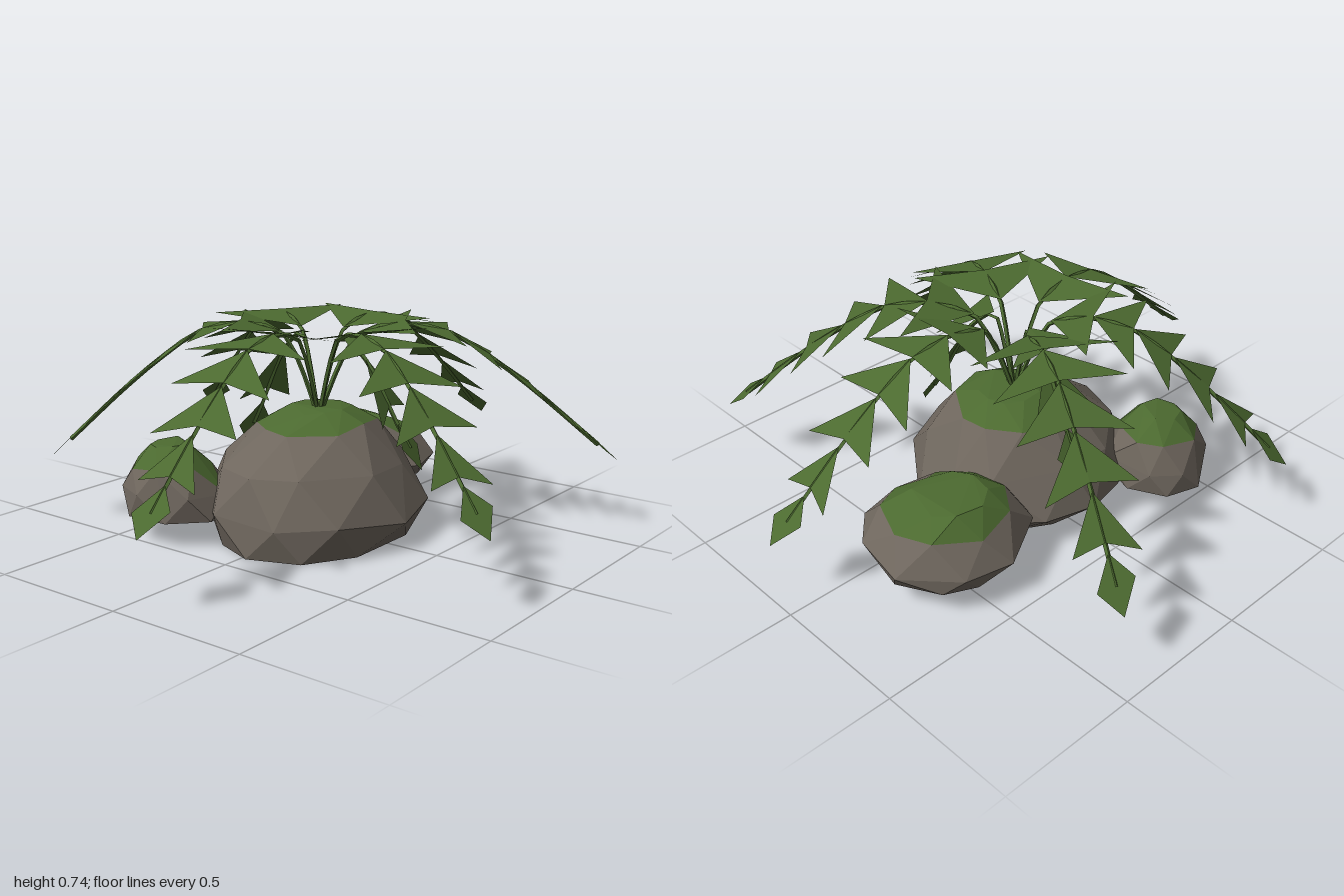
import * as THREE from 'three';
import { ConvexGeometry } from 'three/addons/geometries/ConvexGeometry.js';

const stone = new THREE.MeshStandardMaterial({ color: 0x6e665d, flatShading: true });
stone.name = 'stone';
const leafGreen = new THREE.MeshStandardMaterial({ color: 0x4c6a30, flatShading: true, side: THREE.DoubleSide });
leafGreen.name = 'leaf green';

function seeded(seed) {
  return () => (seed = (seed * 16807) % 2147483647) / 2147483647;
}

// Faceted boulder: hull of uneven rings [y, centreX, centreZ, radiusX, radiusZ],
// with upward faces above mossY painted green
function boulder(name, rings, sides, mossY, seed) {
  const rand = seeded(seed);
  const points = [];
  rings.forEach(([y, cx, cz, rx, rz], k) => {
    const flat = k === 0;
    for (let i = 0; i < sides; i++) {
      const a = ((i + (k % 2) * 0.5 + (rand() - 0.5) * 0.35) / sides) * Math.PI * 2;
      const s = 0.97 + rand() * 0.07;
      const dy = flat ? 0 : (rand() - 0.5) * 0.03;
      points.push(new THREE.Vector3(cx + Math.cos(a) * rx * s, y + dy, cz + Math.sin(a) * rz * s));
    }
  });
  const geo = new ConvexGeometry(points);
  const p = geo.attributes.position;
  const n = geo.attributes.normal;
  for (let i = 0; i < p.count; i += 3) {
    const midY = (p.getY(i) + p.getY(i + 1) + p.getY(i + 2)) / 3;
    geo.addGroup(i, 3, midY > mossY && n.getY(i) > 0.55 ? 1 : 0);
  }
  const mesh = new THREE.Mesh(geo, [stone, leafGreen]);
  mesh.name = name;
  return mesh;
}

// Leaf from an inner point to an outer one: a wide wedge, or a kite at the tip
function leaf([r0, y0, r1, y1, half], isTip, skew) {
  const dr = r1 - r0;
  const dy = y1 - y0;
  const at = (t, side) => [r0 + dr * t, y0 + dy * t, side];
  const inner = at(0, 0);
  const left = at((isTip ? 0.5 : 1.06) + skew, half);
  const right = at((isTip ? 0.5 : 1.06) - skew, -half);
  const middle = at(isTip ? 1 : 0.9, 0);
  if (!isTip) middle[1] += 0.008;
  const geo = new THREE.BufferGeometry();
  geo.setAttribute('position', new THREE.Float32BufferAttribute(
    [inner, left, middle, inner, middle, right].flat(), 3));
  geo.computeVertexNormals();
  const mesh = new THREE.Mesh(geo, leafGreen);
  mesh.name = isTip ? 'tipLeaf' : 'leaf';
  return mesh;
}

const longLeaves = [
  [0.13, 0.705, 0.30, 0.74, 0.25],
  [0.28, 0.74, 0.44, 0.70, 0.225],
  [0.43, 0.71, 0.575, 0.61, 0.19],
  [0.57, 0.62, 0.715, 0.50, 0.155],
  [0.72, 0.50, 0.85, 0.375, 0.11],
  [0.86, 0.375, 1.0, 0.245, 0.065],
];
const shortLeaves = [
  [0.08, 0.70, 0.20, 0.66, 0.16],
  [0.17, 0.63, 0.27, 0.44, 0.13],
  [0.29, 0.41, 0.38, 0.25, 0.07],
];

// Arching stalk with leaves, aimed so that its tip lies over (x, z)
function frond(name, x, z, leaves) {
  const group = new THREE.Group();
  group.name = name;
  const path = [new THREE.Vector3(0, 0.4, 0), new THREE.Vector3(leaves[0][0] * 0.5, 0.58, 0)];
  leaves.forEach(([r, y]) => path.push(new THREE.Vector3(r, y - 0.008, 0)));
  const last = leaves[leaves.length - 1];
  path.push(new THREE.Vector3((last[0] + last[2]) / 2, (last[1] + last[3]) / 2 - 0.006, 0));
  const stalk = new THREE.Mesh(
    new THREE.TubeGeometry(new THREE.CatmullRomCurve3(path), 16, 0.008, 4), leafGreen);
  stalk.name = 'stalk';
  group.add(stalk);
  leaves.forEach((l, i) =>
    group.add(leaf(l, i === leaves.length - 1, i % 2 ? 0.07 : -0.04)));
  group.rotation.y = Math.atan2(-z, x);
  const reach = Math.hypot(x, z) / last[2];
  group.scale.set(reach, 1, 1);
  return group;
}

export function createModel() {
  const model = new THREE.Group();
  model.name = 'fernOnRocks';

  // Rocks
  model.add(boulder('mainRock', [
    [0, -0.04, 0.02, 0.37, 0.30],
    [0.11, -0.02, 0, 0.40, 0.40],
    [0.26, -0.02, -0.01, 0.35, 0.32],
    [0.39, 0.01, -0.02, 0.22, 0.21],
    [0.44, 0.02, 0, 0.11, 0.11],
  ], 10, 0.36, 17));
  model.add(boulder('rightRock', [
    [0.09, 0.48, -0.17, 0.24, 0.24],
    [0.15, 0.47, -0.155, 0.29, 0.275],
    [0.24, 0.47, -0.16, 0.21, 0.21],
    [0.29, 0.46, -0.17, 0.12, 0.13],
  ], 9, 0.25, 91));
  model.add(boulder('leftRock', [
    [0.09, -0.36, -0.35, 0.18, 0.20],
    [0.17, -0.36, -0.35, 0.18, 0.19],
    [0.26, -0.37, -0.36, 0.14, 0.14],
    [0.32, -0.37, -0.36, 0.07, 0.07],
  ], 7, 0.25, 305));

  // Long outer fronds
  [[1, 0.07], [0.64, 0.84], [-0.38, 0.92], [-1, 0.11], [-0.52, -0.8], [0.44, -0.92]]
    .forEach(([x, z]) => model.add(frond('outerFrond', x, z, longLeaves)));

  // Short drooping inner fronds
  [[0.1, 0.37], [0.05, -0.38]]
    .forEach(([x, z]) => model.add(frond('innerFrond', x, z, shortLeaves)));

  return model;
}
